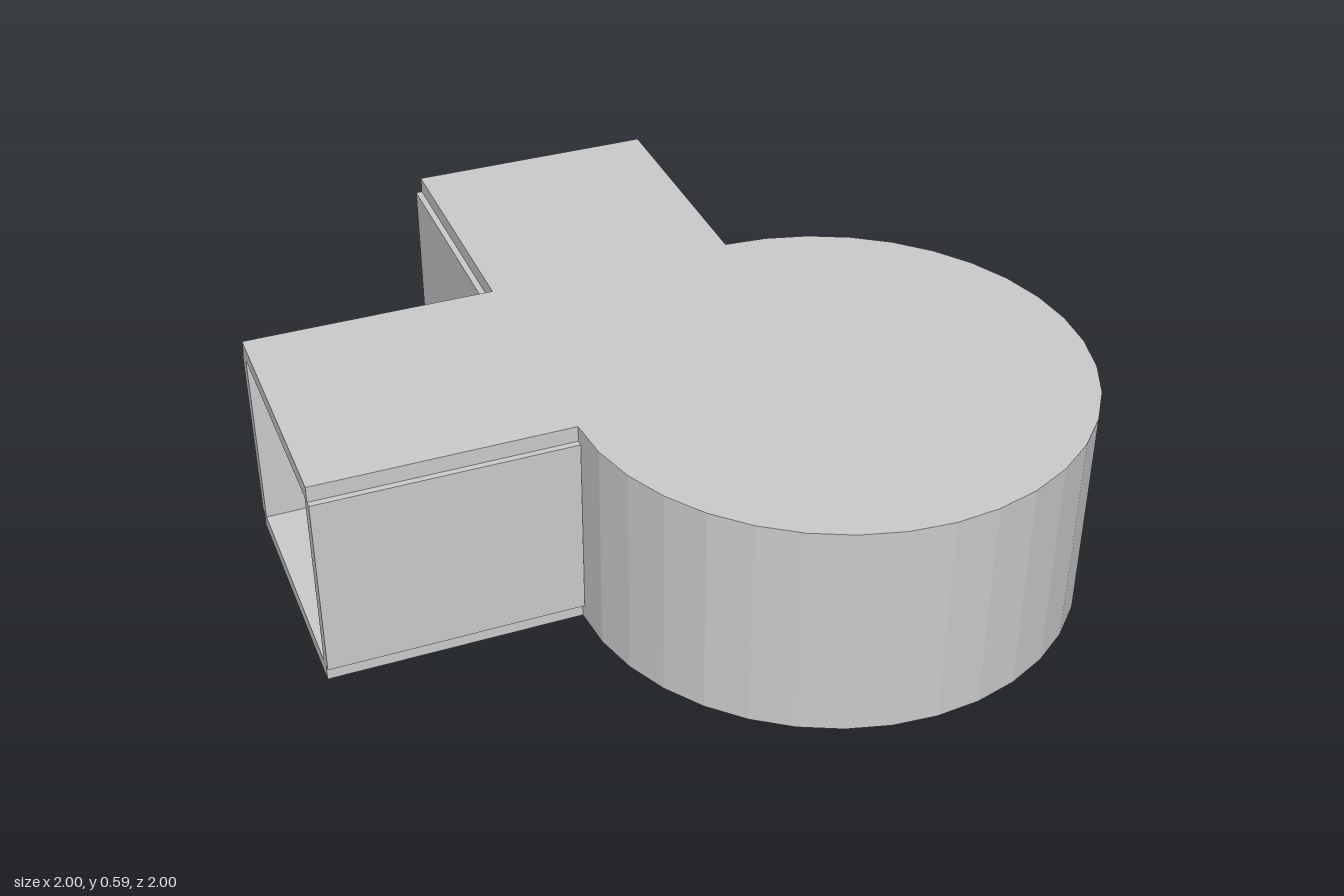
import * as THREE from 'three';

const C = 1 / 3;           // half width of the arms, also the drum centre offset
const R = 2 / 3;           // drum radius
const H = 0.587;           // total height
const T = 0.043;           // slab and wall thickness
const IN = 0.31, OUT = 0.35; // inner and outer faces of the arm walls

const material = new THREE.MeshStandardMaterial({ color: 0xcccccc, flatShading: true });

// Three quarters of a 36-sided circle, in plan (plan y is -z)
function arc(radius) {
  return Array.from({ length: 28 }, (_, i) => {
    const a = Math.PI + (i * Math.PI) / 18;
    return new THREE.Vector2(C + radius * Math.cos(a), -C + radius * Math.sin(a));
  });
}

// Raises a plan outline into a solid standing on height y
function raise(name, points, y, depth) {
  const geometry = new THREE.ExtrudeGeometry(new THREE.Shape(points), { depth, bevelEnabled: false });
  geometry.rotateX(-Math.PI / 2);
  const mesh = new THREE.Mesh(geometry, material);
  mesh.position.y = y;
  mesh.name = name;
  return mesh;
}

// Upright wall filling a rectangle in x and z, between the two slabs
function wall(name, x0, x1, z0, z1) {
  const mesh = new THREE.Mesh(new THREE.BoxGeometry(x1 - x0, H - 2 * T, z1 - z0), material);
  mesh.position.set((x0 + x1) / 2, H / 2, (z0 + z1) / 2);
  mesh.name = name;
  return mesh;
}

export function createModel() {
  const model = new THREE.Group();
  model.name = 'roundChamberWithTwoPassages';

  // Floor and roof: round chamber joined to two straight arms
  const plan = [
    new THREE.Vector2(-1, C), new THREE.Vector2(-1, -C),
    ...arc(R),
    new THREE.Vector2(C, 1), new THREE.Vector2(-C, 1), new THREE.Vector2(-C, C),
  ];
  model.add(raise('floor', plan, 0, T), raise('roof', plan, H - T, T));

  // Curved chamber wall, open towards the arms
  const ring = [...arc(R), ...arc(R - T).reverse()];
  model.add(raise('chamberWall', ring, T, H - 2 * T));

  // Side walls of the arms, standing slightly proud of the slabs
  model.add(
    wall('sideArmFrontWall', -1, -C, IN, OUT),
    wall('sideArmBackWall', -1, -IN, -OUT, -IN),
    wall('backArmLeftWall', IN, OUT, -1, -C),
    wall('backArmRightWall', -OUT, -IN, -1, -OUT),
  );
  return model;
}
